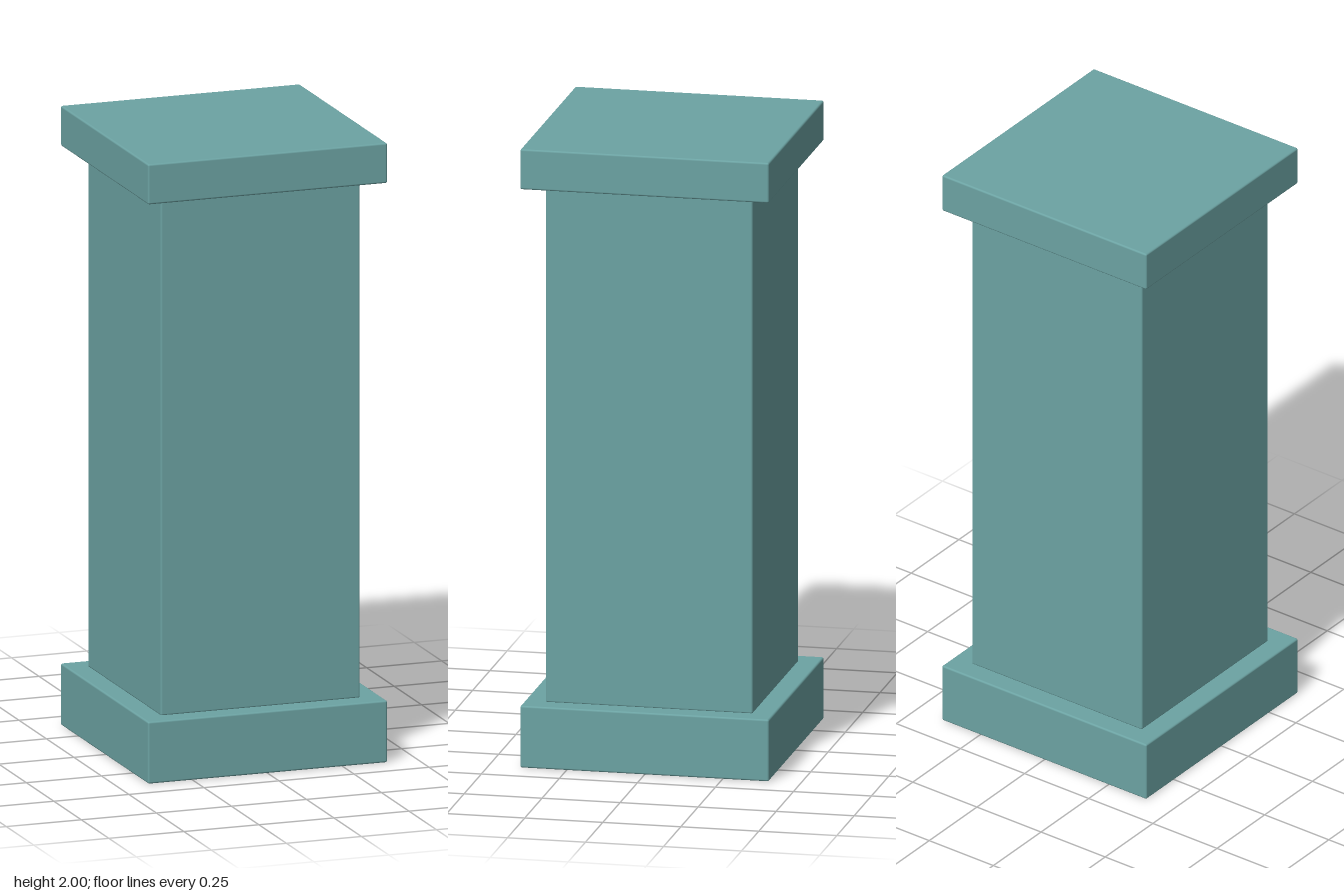
import * as THREE from 'three';
import { RoundedBoxGeometry } from 'three/addons/geometries/RoundedBoxGeometry.js';

export function createModel() {
  const group = new THREE.Group();
  group.name = 'pedestal';
  const stone = new THREE.MeshStandardMaterial({ color: 0x6ca3a3 });
  stone.name = 'teal stone';

  // Square block with finely softened edges, spanning bottom to top
  const block = (name, width, bottom, top) => {
    const geometry = new RoundedBoxGeometry(width, top - bottom, width, 2, 0.006);
    const mesh = new THREE.Mesh(geometry, stone);
    mesh.name = name;
    mesh.position.y = (bottom + top) / 2;
    group.add(mesh);
  };

  block('base', 0.797, 0, 0.2);
  block('shaft', 0.664, 0.198, 1.872);
  block('cap', 0.797, 1.87, 2);

  return group;
}
